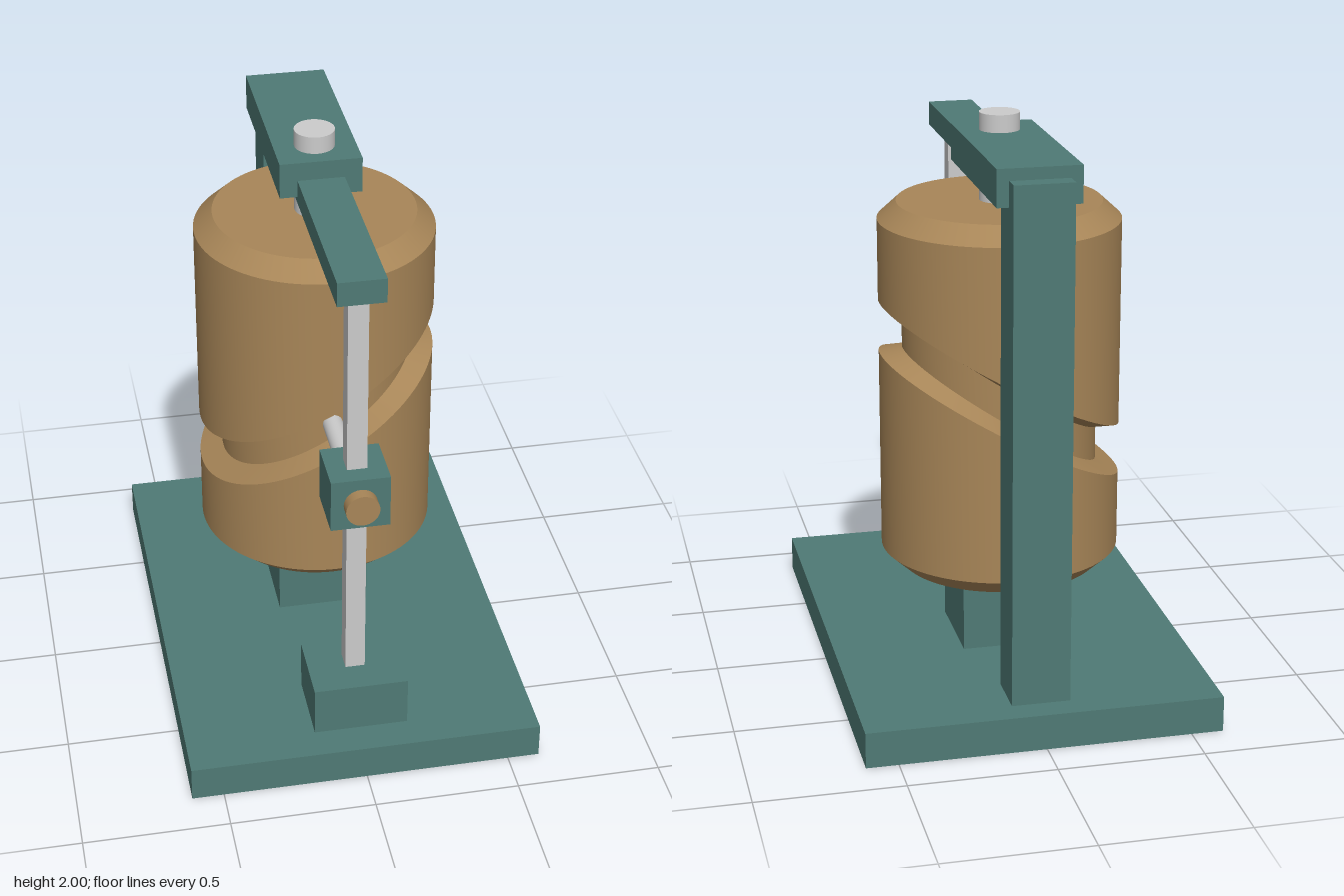
import * as THREE from 'three';

const teal = new THREE.MeshStandardMaterial({ color: 0x4f7a75 });
const tan = new THREE.MeshStandardMaterial({ color: 0xa88658 });
const grey = new THREE.MeshStandardMaterial({ color: 0xcccccc });

const AXIS_Z = -0.13; // z of the drum axis
const PIN_Y = 1.04; // mean height of the groove
const SEG = 96;

// Box given by half width in x and its y and z ranges
function box(name, halfX, y0, y1, z0, z1, material) {
  const mesh = new THREE.Mesh(new THREE.BoxGeometry(halfX * 2, y1 - y0, z1 - z0), material);
  mesh.position.set(0, (y0 + y1) / 2, (z0 + z1) / 2);
  mesh.name = name;
  return mesh;
}

// Round pin along z
function pin(name, radius, z0, z1, material) {
  const geometry = new THREE.CylinderGeometry(radius, radius, z1 - z0, 32).rotateX(Math.PI / 2);
  const mesh = new THREE.Mesh(geometry, material);
  mesh.position.set(0, PIN_Y, (z0 + z1) / 2);
  mesh.name = name;
  return mesh;
}

// Ring whose height rises and falls once per turn, highest at +x
const ring = (radius, y, lift = 0) => ({ radius, y, lift });

// Smooth band between a lower and an upper ring, sharp against its neighbours
function band(a, b) {
  const positions = [], indices = [];
  for (let i = 0; i <= SEG; i++) {
    const t = (i / SEG) * Math.PI * 2;
    for (const r of [a, b]) {
      positions.push(r.radius * Math.sin(t), r.y + r.lift * Math.sin(t), r.radius * Math.cos(t));
    }
    if (i < SEG) {
      const k = i * 2;
      indices.push(k, k + 2, k + 1, k + 1, k + 2, k + 3);
    }
  }
  const geometry = new THREE.BufferGeometry();
  geometry.setAttribute('position', new THREE.Float32BufferAttribute(positions, 3));
  geometry.setIndex(indices);
  geometry.computeVertexNormals();
  // Join the normals across the seam
  const n = geometry.attributes.normal, v = new THREE.Vector3(), w = new THREE.Vector3();
  for (let j = 0; j < 2; j++) {
    const last = SEG * 2 + j;
    v.fromBufferAttribute(n, j).add(w.fromBufferAttribute(n, last)).normalize();
    n.setXYZ(j, v.x, v.y, v.z);
    n.setXYZ(last, v.x, v.y, v.z);
  }
  return geometry;
}

// Drum with chamfered ends and a tapered cam groove around it
function createCamDrum() {
  const drum = new THREE.Group();
  drum.name = 'camDrum';
  drum.position.z = AXIS_Z;
  const rings = [
    ring(0, 0.41),
    ring(0.35, 0.41),
    ring(0.415, 0.47),
    ring(0.415, PIN_Y - 0.09, 0.227), // lower lip of the groove
    ring(0.335, PIN_Y - 0.06, 0.21), // groove floor
    ring(0.335, PIN_Y + 0.06, 0.21),
    ring(0.415, PIN_Y + 0.09, 0.227), // upper lip of the groove
    ring(0.415, 1.64),
    ring(0.35, 1.70),
    ring(0, 1.70),
  ];
  const names = ['drumBottom', 'lowerChamfer', 'lowerWall', 'grooveLowerSide', 'grooveFloor',
    'grooveUpperSide', 'upperWall', 'upperChamfer', 'drumTop'];
  names.forEach((name, i) => {
    const mesh = new THREE.Mesh(band(rings[i], rings[i + 1]), tan);
    mesh.name = name;
    drum.add(mesh);
  });
  return drum;
}

export function createModel() {
  const model = new THREE.Group();
  model.name = 'barrelCamMechanism';

  // Frame
  model.add(
    box('basePlate', 0.61, 0, 0.125, -0.855, 0.855, teal),
    box('bearingBlock', 0.163, 0.125, 0.38, -0.293, 0.033, teal),
    box('guideFoot', 0.163, 0.125, 0.305, 0.477, 0.74, teal),
    box('rearColumn', 0.1, 0.125, 1.9, -0.765, -0.59, teal),
    box('topBearing', 0.14, 1.815, 1.94, -0.703, -0.005, teal),
    box('topArm', 0.08, 1.79, 1.875, -0.6, 0.68, teal),
  );

  // Drum and its shaft
  const shaft = new THREE.Mesh(new THREE.CylinderGeometry(0.069, 0.069, 1.64, 48), grey);
  shaft.position.set(0, 1.18, AXIS_Z);
  shaft.name = 'shaft';
  model.add(shaft, createCamDrum());

  // Follower sliding on the guide rod
  const follower = new THREE.Group();
  follower.name = 'follower';
  follower.add(
    box('slider', 0.1, 0.945, 1.135, 0.493, 0.692, teal),
    pin('followerPin', 0.035, 0.21, 0.5, grey),
    pin('followerKnob', 0.057, 0.68, 0.733, tan),
  );
  model.add(box('guideRod', 0.034, 0.3, 1.8, 0.558, 0.627, grey), follower);

  return model;
}
